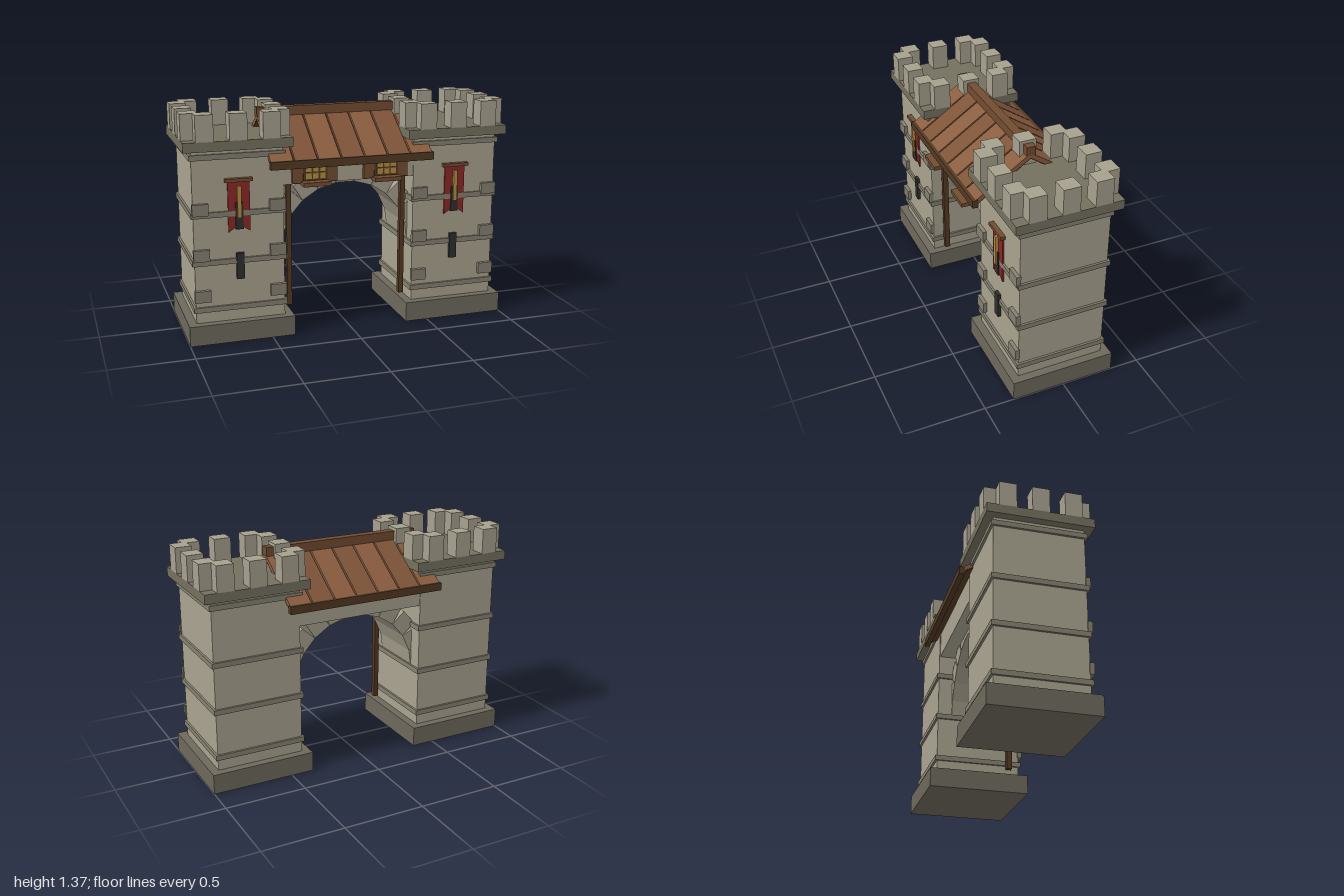
import * as THREE from 'three';

const mat = (color) => new THREE.MeshStandardMaterial({ color });
const M = {
  stone: mat(0xa8a28e), band: mat(0x858070), base: mat(0x6d685c), slab: mat(0x74705f),
  merlon: mat(0xa6a08e), arch: mat(0xa39d8a), slit: mat(0x2f2f2c), red: mat(0x8a2727),
  gold: mat(0xb58d42), wood: mat(0x724c31), darkWood: mat(0x523923),
  roofA: mat(0x7f5439), roofB: mat(0x8a5d40),
};

// Box given by its centre and size
function box(parent, name, m, [x, y, z], [w, h, d]) {
  const mesh = new THREE.Mesh(new THREE.BoxGeometry(w, h, d), M[m]);
  mesh.name = name;
  mesh.position.set(x, y, z);
  parent.add(mesh);
  return mesh;
}

function group(parent, name, x = 0) {
  const g = new THREE.Group();
  g.name = name;
  g.position.x = x;
  parent.add(g);
  return g;
}

function buildBanner(parent) {
  const g = group(parent, 'banner');
  // swallow-tailed cloth
  const s = new THREE.Shape([[-0.065, 0.975], [-0.065, 0.668], [0, 0.712], [0.065, 0.668], [0.065, 0.975]]
    .map(([x, y]) => new THREE.Vector2(x, y)));
  const cloth = new THREE.Mesh(new THREE.ExtrudeGeometry(s, { depth: 0.01, bevelEnabled: false }), M.red);
  cloth.name = 'bannerCloth';
  cloth.position.z = 0.272;
  g.add(cloth);
  box(g, 'bannerRod', 'wood', [0, 0.98, 0.285], [0.165, 0.02, 0.03]);
  box(g, 'bannerStripe', 'gold', [0, 0.85, 0.29], [0.024, 0.19, 0.02]);
}

function buildTower(parent, name, x) {
  const t = group(parent, name, x);
  box(t, 'towerBase', 'base', [0, 0.061, 0], [0.64, 0.122, 0.64]);
  box(t, 'towerShaft', 'stone', [0, 0.645, 0], [0.54, 1.05, 0.54]);
  for (const y of [0.205, 0.492, 0.78, 1.12])
    box(t, 'stoneBand', 'band', [0, y, 0], [0.566, 0.032, 0.566]);
  box(t, 'parapetSlab', 'slab', [0, 1.188, 0], [0.64, 0.057, 0.64]);
  // battlements: three on each side
  for (const s of [-1, 1]) for (const o of [-0.195, 0, 0.195]) {
    box(t, 'merlon', 'merlon', [o, 1.293, s * 0.27], [0.104, 0.156, 0.1]);
    box(t, 'merlon', 'merlon', [s * 0.27, 1.293, o], [0.1, 0.156, 0.104]);
  }
  // corner blocks on the front
  for (const y of [0.29, 0.54, 0.815]) for (const s of [-1, 1])
    box(t, 'cornerBlock', 'band', [s * 0.229, y, 0.279], [0.096, 0.07, 0.028]);
  for (const y of [0.46, 0.765])
    box(t, 'arrowSlit', 'slit', [0, y, 0.277], [0.046, 0.16, 0.025]);
  buildBanner(t);
}

function buildWindow(parent, name, x) {
  const w = group(parent, name, x);
  box(w, 'windowFrame', 'darkWood', [0, 0.997, 0.282], [0.15, 0.1, 0.034]);
  for (const s of [-1, 1])
    box(w, 'shutter', 'wood', [s * 0.107, 0.997, 0.28], [0.064, 0.125, 0.026]);
  // gold panes in three columns and two rows
  for (const px of [-0.042, 0, 0.042]) for (const y of [0.976, 1.019])
    box(w, 'pane', 'gold', [px, y, 0.29], [0.034, 0.035, 0.03]);
  box(w, 'windowSill', 'wood', [0, 0.932, 0.306], [0.17, 0.025, 0.078]);
}

function buildArch(parent) {
  const g = group(parent, 'arch');
  const count = 11, step = Math.PI / count, r = 0.41, thick = 0.11;
  for (let i = 0; i < count; i++) {
    const a = (i + 0.5) * step, mid = r * Math.cos(step / 2) + thick / 2;
    const stone = box(g, 'archStone', 'arch',
      [Math.cos(a) * mid, 0.49 + Math.sin(a) * mid, 0], [thick, 2 * r * Math.sin(step / 2), 0.36]);
    stone.rotation.z = a;
  }
}

function buildRoof(parent) {
  const roof = group(parent, 'roof');
  const run = 0.345, drop = 0.232, len = Math.hypot(run, drop), tilt = Math.atan2(drop, run);
  for (const s of [-1, 1]) {
    const slope = group(roof, s > 0 ? 'frontSlope' : 'backSlope');
    slope.position.set(0, 1.295 - drop / 2, s * run / 2);
    slope.rotation.x = s * tilt;
    box(slope, 'roofUnderside', 'darkWood', [0, -0.012, 0], [1.0, 0.012, len]);
    for (let i = -3; i <= 3; i++)
      box(slope, 'roofPlank', i % 2 ? 'roofB' : 'roofA', [i * 0.1445, 0, 0], [0.134, 0.024, len]);
    box(roof, 'eaveBeam', 'darkWood', [0, 1.06, s * 0.339], [1.01, 0.048, 0.034]);
  }
  box(roof, 'ridgeBeam', 'wood', [0, 1.324, 0], [1.01, 0.055, 0.055]);
}

export function createModel() {
  const model = new THREE.Group();
  model.name = 'gatehouse';
  buildTower(model, 'leftTower', 0.68);
  buildTower(model, 'rightTower', -0.68);
  // bridge wall between the towers
  box(model, 'gateWall', 'stone', [0, 1.01, 0], [0.84, 0.17, 0.53]);
  buildArch(model);
  for (const s of [-1, 1]) {
    box(model, 'gatePost', 'darkWood', [s * 0.364, 0.54, 0.195], [0.03, 0.77, 0.034]);
    buildWindow(model, s > 0 ? 'leftWindow' : 'rightWindow', s * 0.222);
  }
  buildRoof(model);
  return model;
}
